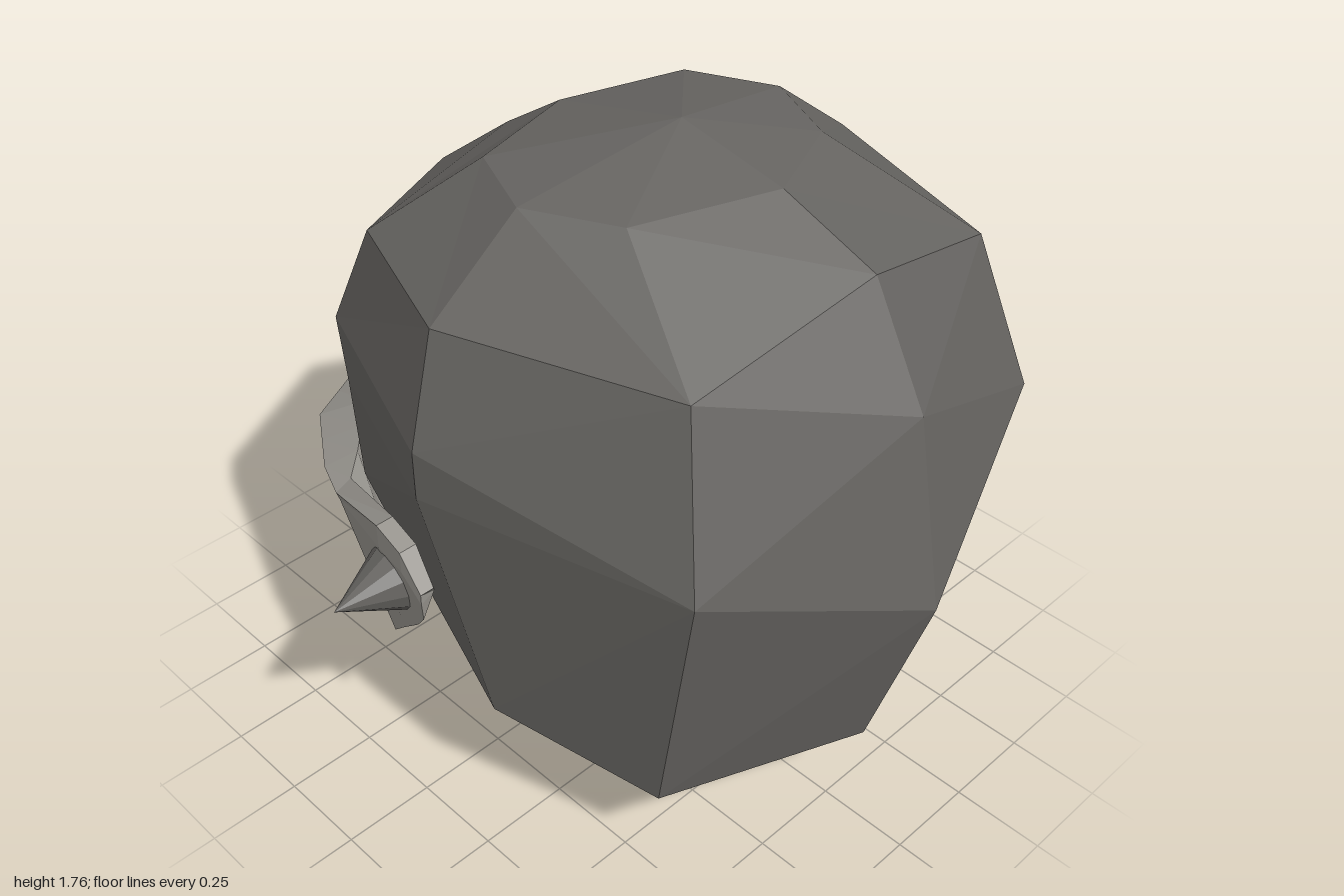
import * as THREE from 'three';

const material = (color) => new THREE.MeshStandardMaterial({ color, flatShading: true, side: THREE.DoubleSide });
const shellMaterial = material(0x666461);
const visorMaterial = material(0x98958f);
const spikeMaterial = material(0x62605d);

// Collects flat polygons as triangle fans
function polygonMesh(name, polygons, mat) {
  const corners = [];
  for (const p of polygons) {
    for (let i = 1; i < p.length - 1; i++) corners.push(p[0], p[i], p[i + 1]);
  }
  const geometry = new THREE.BufferGeometry().setFromPoints(corners);
  geometry.computeVertexNormals();
  const mesh = new THREE.Mesh(geometry, mat);
  mesh.name = name;
  return mesh;
}

// Half of the helmet: columns run from the rear centre (A) round the side (C)
// to the face (E), rows from the crown (T) downwards; F is the cheek guard
const shellPoints = {
  T: [0, 1.76, 0.16],
  A1: [0, 1.70, 0.47], A2: [0, 1.60, 0.74], A3: [0, 1.31, 0.90], A4: [0, 0.81, 1.0], A5: [0, 0.285, 0.84],
  B1: [0.32, 1.665, 0.31], B2: [0.49, 1.47, 0.67], B3: [0.59, 1.05, 0.79], B5: [0.525, 0.285, 0.63],
  C1: [0.43, 1.665, 0.08], C2: [0.69, 1.47, 0.08], C3: [0.787, 1.20, 0.11], C4: [0.787, 1.07, 0.11], C5: [0.69, 0.41, 0.22],
  D1: [0.33, 1.665, -0.15], D2: [0.53, 1.47, -0.35], D3: [0.56, 1.18, -0.48], D4: [0.59, 1.04, -0.41], D5: [0.58, 0.74, -0.40],
  E1: [0, 1.66, -0.25], E2: [0, 1.53, -0.45], E3: [0, 1.32, -0.73], E4: [0, 1.10, -0.83],
  F4: [0.34, 0.94, -0.595], F5: [0.31, 0.79, -0.625],
};
const shellFaces = [
  'T A1 B1', 'T B1 C1', 'T C1 D1', 'T D1 E1',
  'A1 A2 B2 B1', 'B1 B2 C2 C1', 'C1 C2 D2 D1', 'D1 D2 E2 E1',
  'A2 A3 B2', 'A3 B3 B2', 'A3 A4 B3', 'A4 A5 B5', 'A4 B5 B3',
  'B2 B3 C3', 'B2 C3 C2', 'B3 C4 C3', 'B3 B5 C5', 'B3 C5 C4',
  'C2 C3 D3', 'C2 D3 D2', 'C3 C4 D4 D3', 'C4 C5 D5', 'C4 D5 D4',
  'D2 E3 E2', 'D2 D3 E4', 'D2 E4 E3', 'D4 D5 F5 F4',
];
const shellRim = 'A5 B5 C5 D5 F5 F4 D4 D3 E4'.split(' ');

function createShell() {
  const polygons = [];
  const centre = new THREE.Vector3(0, 0.9, 0.05);
  for (const side of [1, -1]) {
    const outer = (k) => {
      const [x, y, z] = shellPoints[k];
      return new THREE.Vector3(side * x, y, z);
    };
    // the wall thins out towards the face opening; rim points stay level
    const inner = (k) => {
      const p = outer(k);
      const t = 0.03 + 0.1 * THREE.MathUtils.clamp(p.z / 0.6 + 1, 0, 1);
      const drop = shellRim.includes(k) ? 0 : (p.y - 0.285) * t;
      return p.set(p.x * (1 - t), p.y - drop, p.z * (1 - t));
    };
    for (const face of shellFaces) {
      const keys = face.split(' ');
      const [a, b, c] = keys.map(outer);
      const normal = b.clone().sub(a).cross(c.clone().sub(a));
      if (normal.dot(a.clone().sub(centre)) < 0) keys.reverse();
      polygons.push(keys.map(outer), keys.map(inner).reverse());
    }
    // thickness along the lower edge, eye slot and brow
    for (let i = 0; i < shellRim.length - 1; i++) {
      const a = shellRim[i], b = shellRim[i + 1];
      const quad = [outer(a), outer(b), inner(b), inner(a)];
      polygons.push(side > 0 ? quad : quad.reverse());
    }
  }
  const shell = polygonMesh('helmetShell', polygons, shellMaterial);
  shell.position.x = 0.012;
  return shell;
}

// Visor sections from the centre to the hinge: ledge top, ledge edge, wall top, wall bottom
const visorSections = [
  [[0, 0.81, -0.86], [0, 0.72, -1.0], [0, 0.61, -0.92], [0, 0, -0.57]],
  [[0.15, 0.81, -0.83], [0.15, 0.73, -0.97], [0.13, 0.62, -0.89], [0.12, 0.02, -0.55]],
  [[0.25, 0.78, -0.72], [0.26, 0.70, -0.85], [0.23, 0.63, -0.80], [0.21, 0.10, -0.49]],
  [[0.40, 0.78, -0.61], [0.47, 0.70, -0.74], [0.44, 0.65, -0.70], [0.34, 0.15, -0.45]],
  [[0.53, 0.75, -0.48], [0.60, 0.70, -0.54], [0.58, 0.66, -0.52], [0.53, 0.25, -0.36]],
  [[0.60, 0.73, -0.42], [0.65, 0.71, -0.42], [0.64, 0.68, -0.42], [0.66, 0.38, -0.20]],
  [[0.70, 0.85, -0.10], [0.75, 0.85, -0.10], [0.75, 0.78, -0.10], [0.71, 0.50, -0.085]],
  [[0.71, 0.83, 0], [0.76, 0.83, 0], [0.76, 0.77, 0], [0.74, 0.60, 0.02]],
  [[0.72, 0.74, 0.07], [0.76, 0.74, 0.07], [0.76, 0.71, 0.07], [0.75, 0.65, 0.06]],
];

function createVisor() {
  const half = [];
  visorSections.forEach((section, i) => {
    const points = section.map((p) => new THREE.Vector3(...p));
    half.push(points);
    // pleats: a groove at the wall top on either side of the flat front panel
    if (i > 0 && i < 4) {
      const groove = points.map((p, j) => p.clone().lerp(new THREE.Vector3(...visorSections[i + 1][j]), 0.5));
      groove[2].x *= 0.95;
      groove[2].z += 0.035;
      half.push(groove);
    }
  });
  // inner lower edge gives the wall its thickness
  for (const s of half) s.push(new THREE.Vector3(s[3].x * 0.94, s[3].y + 0.065, s[3].z * 0.87));

  const mirrored = half.slice(1).reverse().map((s) => s.map((p) => new THREE.Vector3(-p.x, p.y, p.z)));
  const sections = [...mirrored, ...half];
  const polygons = [[...sections[0]].reverse(), sections[sections.length - 1]];
  for (let i = 0; i < sections.length - 1; i++) {
    const a = sections[i], b = sections[i + 1];
    for (let j = 0; j < 5; j++) {
      const k = (j + 1) % 5;
      polygons.push([a[j], b[j], b[k], a[k]]);
    }
  }
  return polygonMesh('visor', polygons, visorMaterial);
}

export function createModel() {
  const model = new THREE.Group();
  model.name = 'helmet';
  model.add(createShell(), createVisor());

  // hinge spikes
  for (const side of [1, -1]) {
    const spike = new THREE.Mesh(new THREE.ConeGeometry(0.09, 0.18, 12), spikeMaterial);
    spike.name = side > 0 ? 'leftHingeSpike' : 'rightHingeSpike';
    spike.rotation.z = -side * Math.PI / 2;
    spike.position.set(side * 0.823, 0.69, -0.075);
    model.add(spike);
  }
  return model;
}
